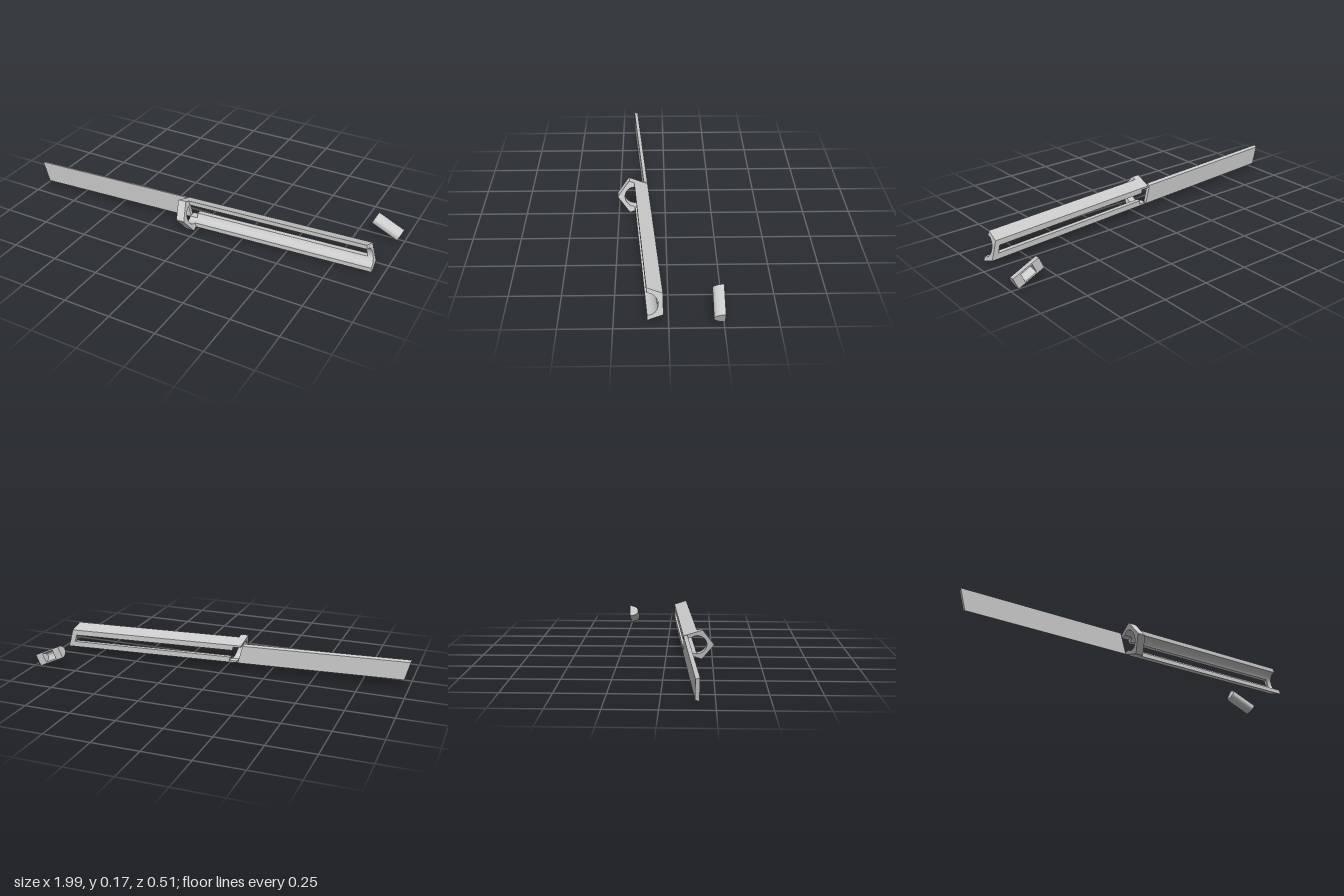
import * as THREE from 'three';
import { toCreasedNormals } from 'three/addons/utils/BufferGeometryUtils.js';

const material = new THREE.MeshStandardMaterial({ color: 0xcccccc });

// Points on an elliptical arc as [w, h]: w is distance from the back, h is height.
function arc(cw, rw, rh, from, to, n = 24) {
  return Array.from({ length: n + 1 }, (_, i) => {
    const a = from + ((to - from) * i) / n;
    return [cw + rw * Math.cos(a), rh * Math.sin(a)];
  });
}

// Sweep a [w, h] outline along u from u0 to u1, then place each vertex.
function sweep(name, outline, u0, u1, place) {
  const shape = new THREE.Shape(outline.map(([w, h]) => new THREE.Vector2(-w, h)));
  let geo = new THREE.ExtrudeGeometry(shape, { depth: u1 - u0, bevelEnabled: false });
  const p = geo.attributes.position;
  for (let i = 0; i < p.count; i++) {
    p.setXYZ(i, ...place(p.getZ(i) + u0, p.getY(i), -p.getX(i)));
  }
  geo.computeVertexNormals();
  geo = toCreasedNormals(geo, 0.5);
  const mesh = new THREE.Mesh(geo, material);
  mesh.name = name;
  return mesh;
}

// Long body: ends lean back with height, the whole bar is slightly skewed.
const alongBody = (u, h, w) => {
  const x = u - 0.27 * h;
  return [x, 0.083 - 0.005 * x + h, 0.023 + 0.07 * (0.94 - x) + w];
};
const plain = (u, h, w) => [u, h, w];

const R = 0.052, C = 0.074; // bore radius and its distance from the back
const bore = (h) => Math.asin(h / R);

export function createModel() {
  const group = new THREE.Group();

  // Thin flat blade
  group.add(sweep('blade', [[0, -0.05], [0, 0.05], [0.02, 0.057], [0.02, -0.057]],
    -0.985, -0.085, alongBody));

  // Two rails either side of the long slot
  const s = 0.02;
  for (const side of [1, -1]) {
    const rail = [[0, s], [0, 0.05], [C, 0.075],
      ...arc(C, R, R, Math.PI / 2, Math.PI - bore(s), 16)];
    group.add(sweep(side > 0 ? 'upperRail' : 'lowerRail',
      rail.map(([w, h]) => [w, h * side]), -0.034, 0.895, alongBody));
  }

  // Closed end of the trough
  group.add(sweep('troughEnd', [[0, -0.05], [0, 0.05], [C, 0.075],
    ...arc(C, R, R, Math.PI / 2, 1.5 * Math.PI), [C, -0.075]], 0.895, 0.925, alongBody));

  // Pointed collar around the bore, open at the back
  const m = 0.04;
  const half = [[0, m], [0, 0.05], [0.098, 0.083], [0.104, 0.081], [0.161, 0.006], [0.164, 0.002]];
  const mirrored = half.map(([w, h]) => [w, -h]).reverse();
  group.add(sweep('collar', [...half, ...mirrored,
    ...arc(C, R, R, -Math.PI + bore(m), Math.PI - bore(m), 40)], -0.076, -0.033, alongBody));

  // Separate half-round slider with a pocket in its flat back
  const slider = new THREE.Group();
  slider.name = 'slider';
  const q = Math.PI / 2, L = 0.0785;
  const solid = arc(0, 0.052, 0.033, -q, q);
  const shell = [...solid, ...arc(0, 0.04, 0.025, q, -q)];
  slider.add(sweep('sliderEnd', solid, -L, -0.035, plain));
  slider.add(sweep('sliderShell', shell, -0.035, 0.035, plain));
  slider.add(sweep('sliderEnd', solid, 0.035, L, plain));
  slider.rotation.z = -0.43;
  slider.position.set(0.904, 0.066, -0.255);
  group.add(slider);

  return group;
}
